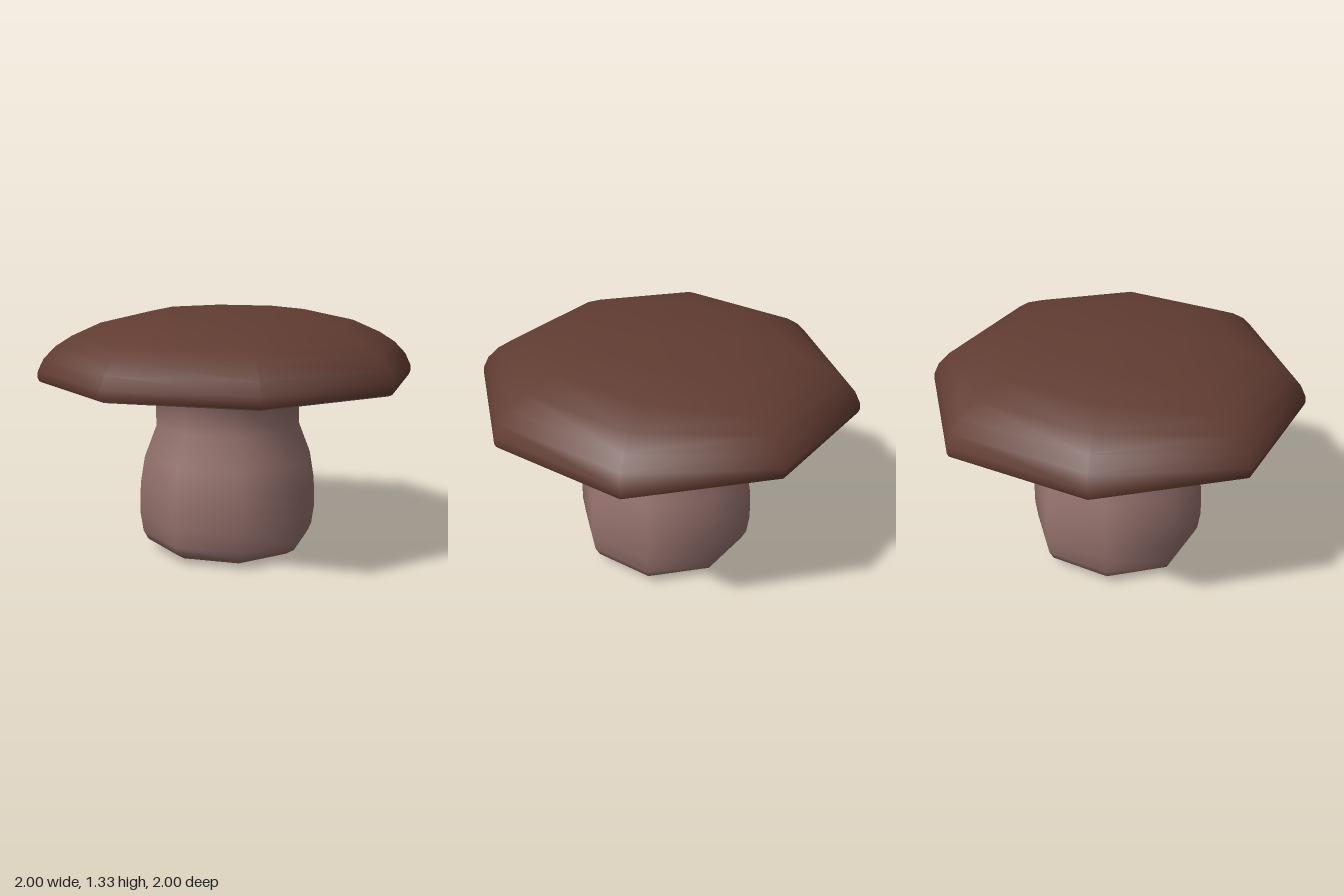
import * as THREE from 'three';

const SIDES = 8;

// Smooth eight-sided turned part; the diagonal corners reach out by `corner`.
function turned(name, material, profile, corner = 1) {
  const points = profile.map(([r, y]) => new THREE.Vector2(r, y));
  const geometry = new THREE.LatheGeometry(points, SIDES);
  const p = geometry.attributes.position;
  for (let i = 0; i < p.count; i++) {
    const x = p.getX(i), z = p.getZ(i);
    if (Math.min(Math.abs(x), Math.abs(z)) > 0.01) p.setXYZ(i, x * corner, p.getY(i), z * corner);
  }
  const mesh = new THREE.Mesh(geometry, material);
  mesh.name = name;
  return mesh;
}

export function createModel() {
  const group = new THREE.Group();
  group.name = 'mushroom';
  const capBrown = new THREE.MeshStandardMaterial({ name: 'capBrown', color: 0x613c32 });
  const stemPink = new THREE.MeshStandardMaterial({ name: 'stemPink', color: 0x94716c });

  // Domed cap, from the rim up to the crown
  group.add(turned('cap', capBrown, [
    [0.992, 0.945], [1.0, 0.965], [0.998, 1.0], [0.967, 1.065], [0.905, 1.13],
    [0.82, 1.185], [0.67, 1.253], [0.4, 1.314], [0, 1.332],
  ], 1.026));

  // Flat underside of the cap, meeting the rim
  group.add(turned('capUnderside', stemPink, [
    [0.44, 0.94], [0.6, 0.938], [0.8, 0.936], [0.97, 0.936], [0.992, 0.945],
  ], 1.026));

  // Plump stem with a narrow neck flaring into the cap
  const stem = turned('stem', stemPink, [
    [0, 0], [0.22, 0.004], [0.39, 0.02], [0.44, 0.05], [0.466, 0.1], [0.48, 0.2],
    [0.48, 0.3], [0.475, 0.38], [0.452, 0.52], [0.388, 0.69], [0.388, 0.84],
    [0.455, 0.925], [0.5, 0.945],
  ], 1.02);
  stem.position.x = -0.006;
  group.add(stem);

  return group;
}
